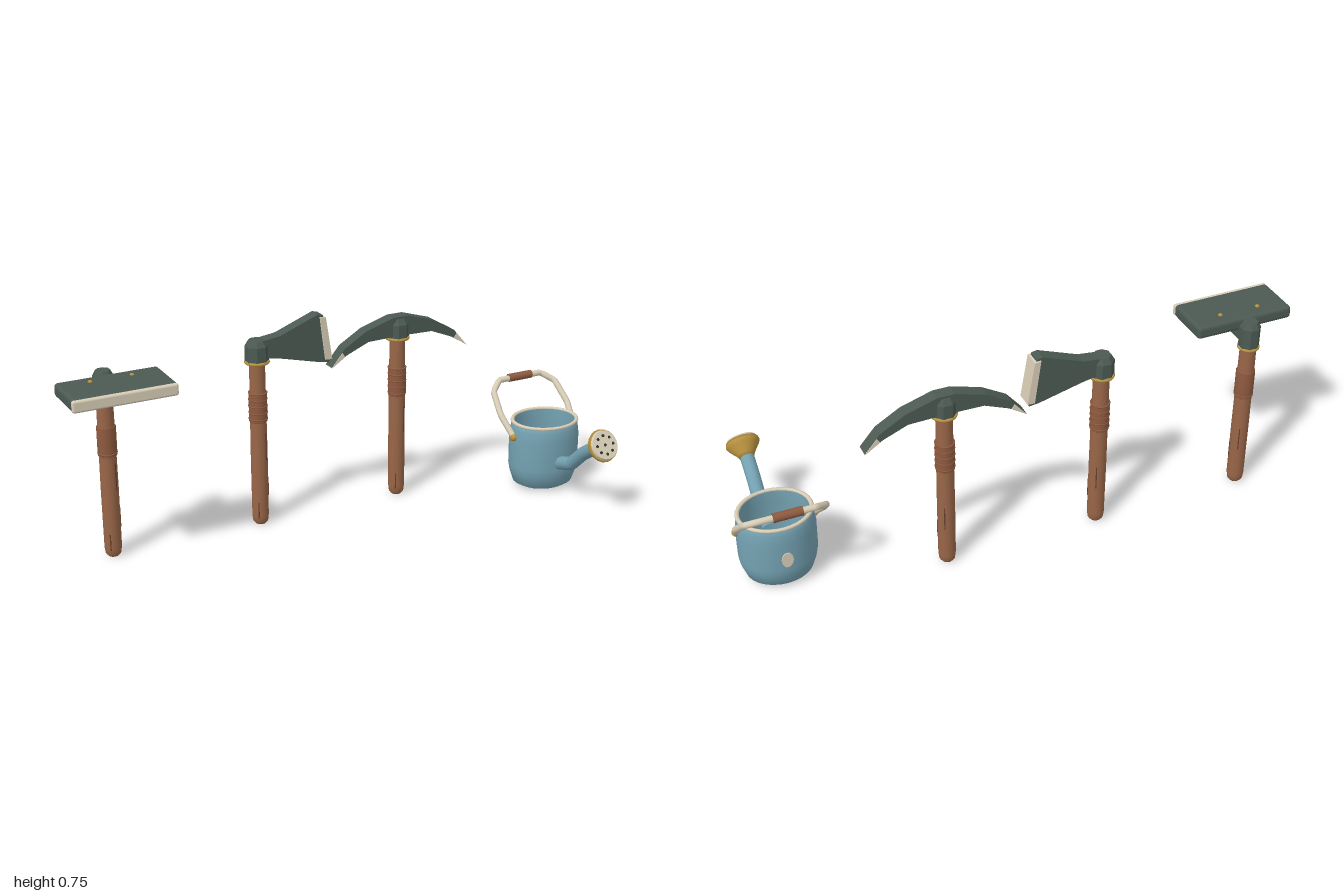
import * as THREE from 'three';
import { RoundedBoxGeometry } from 'three/addons/geometries/RoundedBoxGeometry.js';

const mat = (name, color, extra = {}) => {
  const m = new THREE.MeshStandardMaterial({ color, ...extra });
  m.name = name;
  return m;
};
const iron = mat('dark iron', 0x4c5a53, { flatShading: true });
const wood = mat('wood', 0x996648);
const wrap = mat('grip wood', 0x8f5a40);
const grain = mat('dark grain', 0x65402c);
const cream = mat('cream', 0xd8cdb6);
const gold = mat('brass', 0xb8923f);
const blue = mat('blue paint', 0x74a2b2);
const dark = mat('hole', 0x2b302f);

const TOOL_Z = -0.268;
const V = (x, y, z) => new THREE.Vector3(x, y, z);

function add(parent, name, geometry, material, x = 0, y = 0, z = 0) {
  const mesh = new THREE.Mesh(geometry, material);
  mesh.name = name;
  mesh.position.set(x, y, z);
  parent.add(mesh);
  return mesh;
}
const lathe = (pts, seg) => new THREE.LatheGeometry(pts.map(p => new THREE.Vector2(...p)), seg);

// flat outline in x/y, thickened evenly around z = 0
function slab(pts, depth) {
  const shape = new THREE.Shape(pts.map(p => new THREE.Vector2(...p)));
  return new THREE.ExtrudeGeometry(shape, { depth, bevelEnabled: false }).translate(0, 0, -depth / 2);
}

function ring(parent, name, r, tube, y, material) {
  add(parent, name, new THREE.TorusGeometry(r, tube, 8, 20).rotateX(Math.PI / 2), material, 0, y, 0);
}

// wooden shaft with a wrapped grip and grain marks
function makeTool(name, x, gripY, ridges) {
  const tool = new THREE.Group();
  tool.name = name;
  tool.position.set(x, 0, TOOL_Z);
  add(tool, 'shaft', lathe([[0, 0.002], [0.019, 0.002], [0.027, 0.012], [0.03, 0.035], [0.0305, 0.25], [0.028, 0.64]], 14), wood);
  add(tool, 'grip', lathe([[0.029, 0], [0.033, 0.004], [0.033, 0.106], [0.029, 0.11]], 14), wrap, 0, gripY, 0);
  for (let i = 0; i < ridges; i++) ring(tool, 'gripRidge', 0.0315, 0.003, gripY + 0.012 + i * 0.024, wrap);
  [[0.5, 0.3, 0.1], [-0.6, 0.06, 0.06], [2.6, 0.2, 0.09], [1.3, 0.14, 0.07]].forEach(([a, y, h]) => {
    const mark = add(tool, 'grainMark', new THREE.BoxGeometry(0.004, h, 0.003), grain,
      Math.sin(a) * 0.03, y, Math.cos(a) * 0.03);
    mark.rotation.y = a;
  });
  return tool;
}

// eight-sided iron socket with a brass collar
function addSocket(tool, r, y0, y1) {
  const geo = lathe([[0, y0], [r, y0], [r, y1 - 0.02], [r * 0.7, y1], [0, y1]], 8).rotateY(Math.PI / 8);
  add(tool, 'socket', geo, iron);
  ring(tool, 'collar', r - 0.003, 0.006, y0 + 0.004, gold);
}

function makeHoe() {
  const hoe = makeTool('hoe', -0.818, 0.37, 1);
  addSocket(hoe, 0.036, 0.572, 0.675);
  add(hoe, 'neck', new THREE.BoxGeometry(0.05, 0.045, 0.075), iron, 0, 0.615, 0.055);
  const blade = add(hoe, 'blade', new RoundedBoxGeometry(0.36, 0.046, 0.175, 2, 0.012), iron, 0, 0.646, 0.118);
  blade.rotation.x = 0.02;
  add(hoe, 'cuttingEdge', new RoundedBoxGeometry(0.362, 0.042, 0.018, 2, 0.008), cream, 0, 0.644, 0.207);
  for (const s of [-1, 1]) {
    add(hoe, 'rivet', new THREE.SphereGeometry(0.008, 10, 6).scale(1, 0.7, 1), gold, s * 0.072, 0.671, 0.08);
  }
  return hoe;
}

function makeAxe() {
  const axe = makeTool('axe', -0.26, 0.39, 5);
  addSocket(axe, 0.042, 0.607, 0.69);
  add(axe, 'blade', slab([[0, 0.63], [0.08, 0.615], [0.235, 0.576], [0.27, 0.572],
    [0.245, 0.748], [0.225, 0.752], [0.08, 0.697], [0, 0.687]], 0.046), iron);
  add(axe, 'cuttingEdge', slab([[0.252, 0.584], [0.278, 0.584], [0.254, 0.74], [0.232, 0.742]], 0.058), cream);
  return axe;
}

function makePick() {
  const pick = makeTool('pickaxe', 0.297, 0.39, 5);
  addSocket(pick, 0.042, 0.607, 0.685);
  const top = [[0.278, 0.547], [0.225, 0.61], [0.14, 0.66], [0.03, 0.694]];
  const under = [[0.04, 0.622], [0.13, 0.62], [0.215, 0.585]];
  const flip = ps => ps.map(([x, y]) => [-x, y]).reverse();
  add(pick, 'head', slab([...top, ...flip(top), ...flip(under), ...under], 0.046), iron);
  // pale worn points, slightly wider than the head
  for (const s of [-1, 1]) {
    const tip = [[0.279, 0.545], [0.236, 0.596], [0.225, 0.58]];
    add(pick, 'point', slab(s > 0 ? tip : flip(tip), 0.051), cream);
  }
  return pick;
}

function makeWateringCan() {
  const can = new THREE.Group();
  can.name = 'wateringCan';
  can.position.set(0.833, 0, -0.093);

  // oval body, open at the top with an inner wall
  const body = lathe([[0, 0.006], [0.08, 0.007], [0.1, 0.02], [0.112, 0.06], [0.117, 0.09], [0.1175, 0.2],
    [0.113, 0.235], [0.108, 0.256], [0.1, 0.256], [0.106, 0.2], [0.104, 0.08], [0.09, 0.025], [0, 0.022]], 28);
  add(can, 'body', body.scale(1.15, 1, 1), blue);
  add(can, 'rim', new THREE.TorusGeometry(0.105, 0.0065, 8, 32).rotateX(Math.PI / 2).scale(1.18, 1, 1.02),
    cream, 0, 0.257, 0);
  add(can, 'backBadge', new THREE.CylinderGeometry(1, 1, 0.008, 16).rotateX(Math.PI / 2).scale(0.02, 0.03, 1),
    cream, 0, 0.135, -0.116);

  // bent spout
  const path = new THREE.CurvePath();
  const bends = [V(0, 0.112, 0.09), V(0, 0.142, 0.182), V(0, 0.206, 0.25), V(0, 0.258, 0.325)];
  for (let i = 0; i < 3; i++) path.add(new THREE.LineCurve3(bends[i], bends[i + 1]));
  add(can, 'spout', new THREE.TubeGeometry(path, 18, 0.025, 14), blue);

  // sprinkler rose, tilted thirty degrees upward
  const rose = new THREE.Group();
  rose.name = 'rose';
  rose.position.set(0, 0.252, 0.319);
  rose.rotation.x = Math.PI / 3;
  add(rose, 'roseCone', lathe([[0, -0.004], [0.025, -0.004], [0.032, 0.01], [0.054, 0.038], [0.06, 0.05], [0.057, 0.06], [0, 0.06]], 20), gold);
  add(rose, 'roseFace', new THREE.CylinderGeometry(0.052, 0.056, 0.01, 20), cream, 0, 0.062, 0);
  for (let i = 0; i < 9; i++) {
    const a = i * Math.PI / 4, r = i < 8 ? 0.034 : 0;
    add(rose, 'roseHole', new THREE.CylinderGeometry(0.0055, 0.0055, 0.004, 8), dark, Math.sin(a) * r, 0.067, Math.cos(a) * r);
  }
  can.add(rose);

  // carrying handle swung toward the back
  const half = [[0.134, 0.207, 0], [0.15, 0.275, -0.068], [0.138, 0.342, -0.14], [0.092, 0.37, -0.174]];
  const pts = [...half.map(([x, y, z]) => V(-x, y, z)), ...half.slice().reverse().map(p => V(...p))];
  const bail = new THREE.CurvePath();
  for (let i = 0; i < pts.length - 1; i++) bail.add(new THREE.LineCurve3(pts[i], pts[i + 1]));
  add(can, 'carryHandle', new THREE.TubeGeometry(bail, 40, 0.0115, 10), cream);
  add(can, 'handleGrip', new THREE.CylinderGeometry(0.0155, 0.0155, 0.1, 14).rotateZ(Math.PI / 2), wrap, 0, 0.371, -0.175);
  for (const s of [-1, 1]) {
    add(can, 'handlePivot', new THREE.SphereGeometry(0.0145, 12, 8), gold, s * 0.135, 0.207, 0);
  }
  return can;
}

export function createModel() {
  const model = new THREE.Group();
  model.name = 'gardenTools';
  model.add(makeHoe(), makeAxe(), makePick(), makeWateringCan());
  return model;
}
